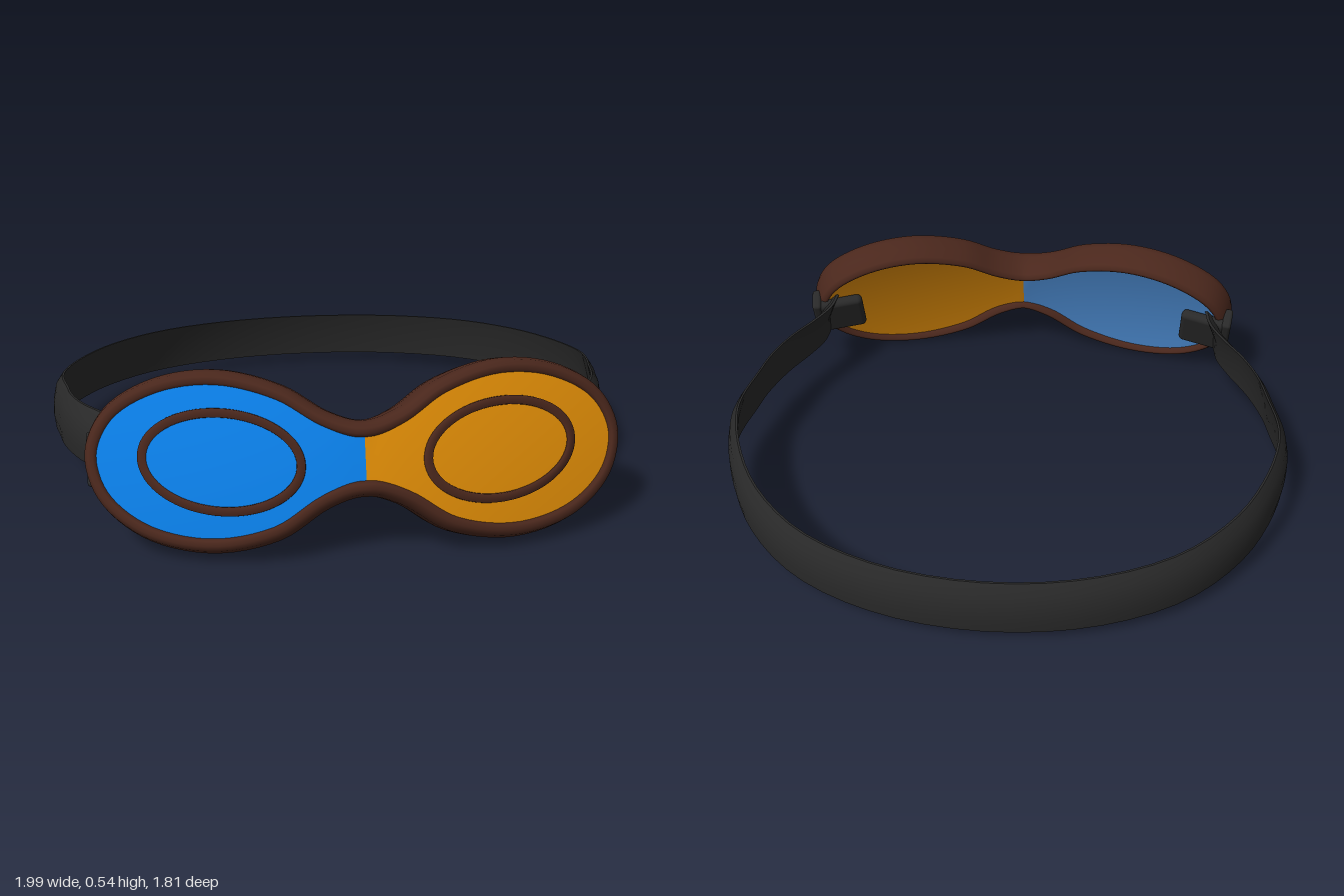
import * as THREE from 'three';
import { mergeVertices, toCreasedNormals } from 'three/addons/utils/BufferGeometryUtils.js';
import { RoundedBoxGeometry } from 'three/addons/geometries/RoundedBoxGeometry.js';

const mat = (name, color, side = THREE.FrontSide) => {
  const m = new THREE.MeshStandardMaterial({ color, side });
  m.name = name;
  return m;
};

// smooth surface from a function of u and v
function surface(f, nu, nv, flip = false) {
  const pos = [], idx = [];
  for (let i = 0; i <= nu; i++)
    for (let j = 0; j <= nv; j++) pos.push(...f(i / nu, j / nv, j));
  for (let i = 0; i < nu; i++)
    for (let j = 0; j < nv; j++) {
      const a = i * (nv + 1) + j, b = a + 1, c = a + nv + 1, d = c + 1;
      idx.push(...(flip ? [a, c, b, b, c, d] : [a, b, c, b, d, c]));
    }
  let g = new THREE.BufferGeometry();
  g.setAttribute('position', new THREE.Float32BufferAttribute(pos, 3));
  g.setIndex(idx);
  g = mergeVertices(g, 1e-5);
  g.computeVertexNormals();
  return g;
}

// wraps a flat point onto the tilted, curved face; d is the offset to the front
const TILT = 0.4, MID = 0.29;
function wrap(x, y, d) {
  const a = Math.abs(x);
  const slope = 0.312 * Math.sign(x) * a ** 0.3;
  const n = new THREE.Vector3(slope, TILT, 1).normalize().multiplyScalar(d);
  return [x + n.x, y + n.y, 0.795 - 0.24 * a ** 1.3 - TILT * (y - MID) + n.z];
}

// figure-eight outline, clockwise from the top of the bridge
const half = [[0, 0.393], [0.1, 0.418], [0.23, 0.487], [0.42, 0.525], [0.61, 0.492], [0.76, 0.4],
  [0.82, 0.275], [0.785, 0.148], [0.66, 0.052], [0.46, 0.018], [0.25, 0.064], [0.1, 0.158], [0, 0.188]];
const mirrored = half.slice(1, -1).reverse().map(([x, y]) => [-x, y]);
const outline = new THREE.CatmullRomCurve3(
  [...half, ...mirrored].map(([x, y]) => new THREE.Vector3(x, y, 0)), true);
const eight = t => outline.getPoint(((t % 1) + 1) % 1);
const oval = cx => t => new THREE.Vector3(
  cx + 0.232 * Math.sin(t * Math.PI * 2), 0.272 + 0.136 * Math.cos(t * Math.PI * 2), 0);

// point moved outward from a clockwise path by o
function offset(path, t, o) {
  const p = path(t), q = path(t + 0.003).sub(path(t - 0.003)).normalize();
  return [p.x - q.y * o, p.y + q.x * o];
}

// sweeps a closed section of [outward, forward] points around a path
function sweep(path, section, n) {
  return surface((u, v, j) => {
    const [o, d] = section[j % section.length];
    return wrap(...offset(path, u, o), d);
  }, n, section.length);
}

// one lens half, filled between the upper and lower outline
function lens(side, front) {
  const inset = front ? -0.038 : -0.026;
  return surface((u, v) => {
    const t = u * 0.25;
    const top = offset(eight, t, inset), low = offset(eight, 0.5 - t, inset);
    const x = THREE.MathUtils.lerp(top[0], low[0], v);
    const y = THREE.MathUtils.lerp(top[1], low[1], v);
    const r = ((x - 0.41) / 0.4) ** 2 + ((y - 0.272) / 0.24) ** 2;
    const d = (front ? 0.06 : -0.05) + 0.015 * Math.max(0, 1 - r);
    return wrap(side * Math.max(x, 0), y, d);
  }, 48, 20, (side < 0) === front);
}

export function createModel() {
  const group = new THREE.Group();
  const brown = mat('brown rim', 0x4a271c);
  const blue = mat('blue lens', 0x0a80ea);
  const paleBlue = mat('pale blue lens back', 0x4f90d8);
  const orange = mat('orange lens', 0xdc8a06);
  const black = mat('black strap', 0x292929, THREE.DoubleSide);
  const add = (name, geometry, material) => {
    const m = new THREE.Mesh(geometry, material);
    m.name = name;
    group.add(m);
    return m;
  };

  // padded rim
  add('rim', sweep(eight, [[-0.012, -0.068], [0, -0.055], [0.004, -0.01], [0.003, 0.035], [-0.005, 0.06],
    [-0.019, 0.072], [-0.034, 0.071], [-0.043, 0.06], [-0.046, 0.03], [-0.04, -0.02],
    [-0.03, -0.052], [-0.022, -0.068]], 144), brown);

  // lenses with an oval ring on each
  for (const side of [-1, 1]) {
    const label = side > 0 ? 'left' : 'right';
    add(label + 'LensFront', lens(side, true), side > 0 ? orange : blue);
    add(label + 'LensBack', lens(side, false), side > 0 ? orange : paleBlue);
    add(label + 'LensRing', sweep(oval(side * 0.41),
      [[0.014, 0.06], [0.012, 0.076], [-0.012, 0.078], [-0.015, 0.06]], 64), brown);
  }

  // strap: a thin band that sinks towards the back and leans in at its top
  const right = [[0.755, 0.57], [0.765, 0.5], [0.808, 0.41], [0.873, 0.3], [0.922, 0.18], [0.947, 0.07],
    [0.972, -0.05], [0.972, -0.15], [0.92, -0.33], [0.81, -0.53], [0.62, -0.715], [0.34, -0.84]];
  const band = new THREE.CatmullRomCurve3(
    [...right, [0, -0.885], ...right.slice().reverse().map(([x, z]) => [-x, z])]
      .map(([x, z]) => new THREE.Vector3(x, 0, z)));
  const section = [[-0.016, 1], [0.008, 0.6], [0.02, 0], [0.022, -0.5], [0.018, -1],
    [0.01, -1], [0.002, 0], [-0.023, 1]];
  const strap = surface((u, v, j) => {
    const p = band.getPoint(u), t = band.getTangent(u);
    const [o, h] = section[j % section.length];
    const out = o * (1 + 0.5 * THREE.MathUtils.smoothstep(p.z, 0.2, 0.5));
    return [p.x - t.z * out, 0.191 + 0.079 * p.z + h * 0.089, p.z + t.x * out];
  }, 88, section.length);
  add('strap', toCreasedNormals(strap, 0.7), black);

  // strap ends: a tab behind the rim and a clip on its outer edge
  for (const side of [-1, 1]) {
    const tab = add('strapTab', new RoundedBoxGeometry(0.18, 0.17, 0.045, 3, 0.02), black);
    tab.position.set(side * 0.72, 0.23, 0.585);
    tab.rotation.set(-0.38, side * 0.28, 0);
    const clip = add('strapClip', new RoundedBoxGeometry(0.035, 0.17, 0.09, 2, 0.012), black);
    clip.position.set(side * 0.809, 0.235, 0.58);
    clip.rotation.set(-0.38, side * 0.15, 0);
  }
  return group;
}
